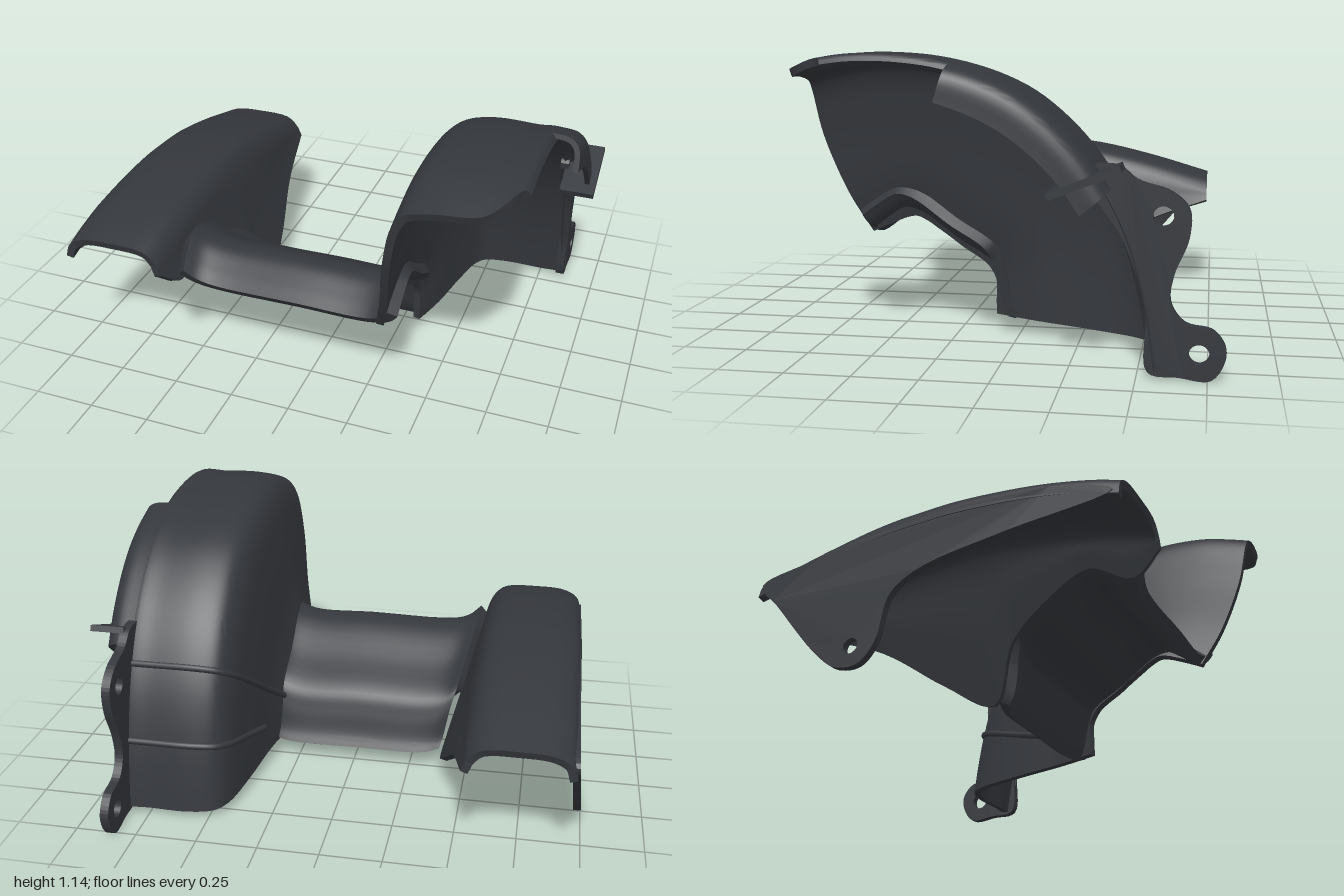
import * as THREE from 'three';
import { toCreasedNormals } from 'three/addons/utils/BufferGeometryUtils.js';

const V = (x, y, z) => new THREE.Vector3(x, y, z);
const spline = (pts, closed = false) => new THREE.CatmullRomCurve3(pts, closed, 'centripetal');
const profile = (pairs) => spline(pairs.map(([z, y]) => V(0, y, z)));
const lerp = THREE.MathUtils.lerp;

const material = new THREE.MeshStandardMaterial({ color: 0x34373c, side: THREE.DoubleSide });

// Smooth sheet through rows of control points, thickened inwards
function shell(rows, nu, nv, thickness) {
  const fine = rows.map((r) => spline(r).getPoints(nv));
  const cols = fine[0].map((_, j) => spline(fine.map((r) => r[j])).getPoints(nu));
  const w = nv + 1, n = (nu + 1) * w, pos = [], index = [];
  for (let i = 0; i <= nu; i++) for (let j = 0; j <= nv; j++) pos.push(...cols[j][i].toArray());
  const quad = (a, b, c, d) => index.push(a, b, c, a, c, d);
  for (let i = 0; i < nu; i++) {
    for (let j = 0; j < nv; j++) {
      const a = i * w + j;
      quad(a, a + w, a + w + 1, a + 1);
    }
  }
  const outer = new THREE.BufferGeometry();
  outer.setAttribute('position', new THREE.Float32BufferAttribute(pos, 3));
  outer.setIndex([...index]);
  outer.computeVertexNormals();
  const normal = outer.attributes.normal.array;
  for (let k = 0; k < n * 3; k++) pos.push(pos[k] - normal[k] * thickness);
  // inner face and the four edges
  const count = index.length;
  for (let k = 0; k < count; k += 3) index.push(index[k] + n, index[k + 2] + n, index[k + 1] + n);
  for (let i = 0; i < nu; i++) {
    const a = i * w, b = a + w, c = a + nv, d = c + w;
    quad(a, a + n, b + n, b);
    quad(c, d, d + n, c + n);
  }
  for (let j = 0; j < nv; j++) {
    const a = j, b = nu * w + j;
    quad(a, a + 1, a + 1 + n, a + n);
    quad(b, b + n, b + 1 + n, b + 1);
  }
  const g = new THREE.BufferGeometry();
  g.setAttribute('position', new THREE.Float32BufferAttribute(pos, 3));
  g.setIndex(index);
  return toCreasedNormals(g, 0.9);
}

// Upright plate with a rounded (z, y) outline and round holes; x is its +x face
function plate(outline, holes, x, thickness) {
  const edge = spline(outline.map(([z, y]) => V(z, y, 0)), true).getPoints(90);
  const shape = new THREE.Shape(edge.slice(0, -1).map((p) => new THREE.Vector2(p.x, p.y)));
  for (const [z, y, r] of holes) shape.holes.push(new THREE.Path().absarc(z, y, r, 0, Math.PI * 2, true));
  const g = new THREE.ExtrudeGeometry(shape, { depth: thickness, bevelEnabled: false, curveSegments: 20 });
  return g.rotateY(-Math.PI / 2).translate(x, 0, 0);
}

export function createModel() {
  const group = new THREE.Group();
  const add = (name, geometry) => {
    const mesh = new THREE.Mesh(geometry, material);
    mesh.name = name;
    group.add(mesh);
    return mesh;
  };

  // Outer arc of the fender and lower edge of its side wall, front to back
  const arc = profile([[0.82, 1.07], [0.62, 1.125], [0.4, 1.135], [0.15, 1.1], [-0.1, 1.0],
    [-0.32, 0.8], [-0.47, 0.55], [-0.55, 0.28], [-0.59, 0.03]]);
  const hem = profile([[0.61, 0.41], [0.5, 0.46], [0.42, 0.48], [0.33, 0.43], [0.22, 0.35],
    [0.13, 0.29], [0.09, 0.22], [0.09, 0.14], [0.09, 0.08]]);
  const onFender = (s, x, t, setback = 0) => {
    const p = arc.getPoint(s + (1 - s) * setback).lerp(hem.getPoint(s), t);
    return V(x, p.y, p.z + 0.05 * Math.sin(Math.PI * t) * (1 - s) ** 4);
  };

  // Fender: crown, rounded shoulder and inner wall; columns are [x, depth, setback]
  const section = [[0.87, 0.035, 0.12], [0.85, 0, 0.11], [0.75, 0, 0.02], [0.58, 0, 0], [0.48, 0.04, 0],
    [0.435, 0.13, 0], [0.395, 0.4, 0], [0.36, 0.75, 0], [0.32, 1, 0]];
  const fenderRows = [];
  for (let i = 0; i <= 16; i++) fenderRows.push(section.map(([x, t, k]) => onFender(i / 16, x, t, k)));
  add('fender', shell(fenderRows, 56, 48, 0.03));

  // Folded lip over the outer rim
  const flapRows = [];
  for (let i = 0; i <= 6; i++) {
    const s = lerp(0.37, 0.69, i / 6);
    flapRows.push([[0.965, 0.19], [0.955, 0.06], [0.92, 0.01], [0.84, -0.005]].map(([x, t]) => onFender(s, x, t)));
  }
  add('rimFlap', shell(flapRows, 20, 14, 0.02));
  const ledge = add('flapLedge', new THREE.BoxGeometry(0.14, 0.025, 0.27));
  ledge.position.set(0.92, 0.71, -0.325);
  ledge.rotation.x = 0.38;

  // Raised ribs round the back of the fender
  for (const [s, end] of [[0.72, 0.95], [0.86, 0.6]]) {
    const path = section.slice(1).filter(([, t]) => t < end).map(([x, t]) => onFender(s, x, t));
    path.push(onFender(s, lerp(0.43, 0.32, end), end));
    add('fenderRib', new THREE.TubeGeometry(spline(path), 40, 0.014, 8));
  }

  // Mounting bracket with two holes
  add('mountBracket', plate([[-0.3, 0.74], [-0.43, 0.76], [-0.5, 0.71], [-0.62, 0.67], [-0.68, 0.61], [-0.68, 0.51],
    [-0.63, 0.38], [-0.62, 0.28], [-0.67, 0.21], [-0.77, 0.185], [-0.815, 0.11], [-0.765, 0.01], [-0.65, 0.015],
    [-0.54, 0.03], [-0.53, 0.25], [-0.45, 0.5]],
  [[-0.59, 0.585, 0.036], [-0.72, 0.1, 0.036]], 0.865, 0.035));

  // Saddle: rows are [z, crown height, inner wall foot height]
  const saddleRows = [[0.73, 0.61, 0.51], [0.62, 0.64, 0.43], [0.45, 0.67, 0.5], [0.28, 0.685, 0.43], [0.1, 0.69, 0.29],
    [0, 0.685, 0.07], [-0.2, 0.665, 0.17], [-0.45, 0.61, 0.33], [-0.73, 0.53, 0.43]].map(([z, top, foot]) => {
    const footX = Math.min(-0.39, -0.56 + (top - foot) * 0.28);
    return [V(footX, foot, z), V(lerp(footX, -0.55, 0.5), lerp(foot, top - 0.06, 0.5), z), V(-0.55, top - 0.06, z),
      V(-0.6, top - 0.012, z), V(-0.75, top, z), V(-0.88, top - 0.01, z), V(-0.94, top - 0.045, z), V(-0.96, top - 0.1, z)];
  });
  add('saddle', shell(saddleRows, 48, 32, 0.03));

  // Outer saddle wall with its drilled tab, leaning outwards towards the bottom
  const wall = plate([[0.71, 0.53], [0.5, 0.6], [0.2, 0.62], [-0.2, 0.6], [-0.5, 0.53], [-0.71, 0.47], [-0.62, 0.36],
    [-0.4, 0.11], [-0.32, 0.055], [-0.23, 0.055], [-0.17, 0.13], [-0.13, 0.31], [-0.02, 0.39], [0.3, 0.46]],
  [[-0.27, 0.13, 0.03]], 0, 0.03);
  const wp = wall.attributes.position;
  for (let i = 0; i < wp.count; i++) wp.setX(i, wp.getX(i) - 0.97 + (wp.getY(i) - 0.05) * 0.08);
  wall.computeVertexNormals();
  add('saddleWall', wall);

  // Bridge joining saddle and fender, flared up at both ends
  const bridgeRows = [[0.62, 0.43], [0.56, 0.475], [0.47, 0.525], [0.38, 0.51], [0.22, 0.4], [0.07, 0.3],
    [0.035, 0.22], [0.005, 0.12], [-0.02, 0.075]].map(([z, y]) => {
    const left = -0.56 + (0.68 - y) * 0.28;
    return [[0.375, 0.07], [0.34, 0.025], [0.27, 0], [0, 0], [left + 0.13, 0], [left + 0.06, 0.02], [left + 0.01, 0.06]]
      .map(([x, lift]) => V(x, y + lift * (y > 0.2 ? 1 : 0.3), z + lift * 0.4));
  });
  add('bridge', shell(bridgeRows, 40, 28, 0.045));

  return group;
}
